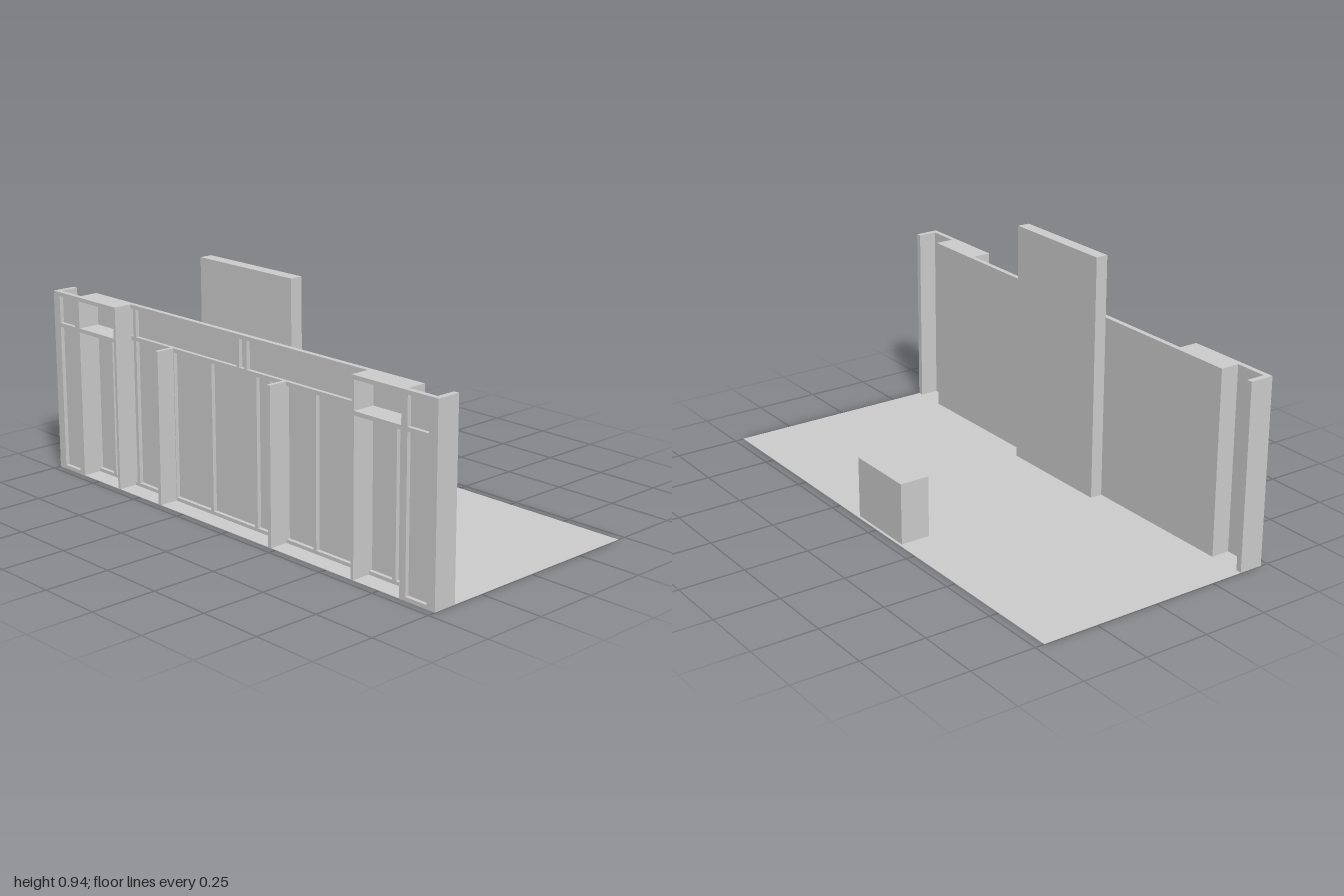
import * as THREE from 'three';

const material = new THREE.MeshStandardMaterial({ color: 0xcccccc, flatShading: true });

// Box given by its two extremes on each axis
function block(parent, name, [x0, x1], [y0, y1], [z0, z1]) {
  const mesh = new THREE.Mesh(new THREE.BoxGeometry(x1 - x0, y1 - y0, z1 - z0), material);
  mesh.position.set((x0 + x1) / 2, (y0 + y1) / 2, (z0 + z1) / 2);
  mesh.name = name;
  parent.add(mesh);
  return mesh;
}

export function createModel() {
  const model = new THREE.Group();
  model.name = 'exhibitionStand';

  const H = 0.705;          // wall height
  const RAIL = 0.585;       // top of the middle rail
  const T = 0.015;          // timber thickness
  const BACK = -0.47;
  const FRONT = -0.377;
  const FRAME = [-0.397, -0.382];

  block(model, 'floor', [BACK, 0.465], [0, 0.002], [-1, 1]);
  block(model, 'counter', [0.34, 0.455], [0, 0.235], [-0.152, 0.13]);
  block(model, 'centrePanel', [FRONT, -0.329], [0, 0.94], [-0.235, 0.235]);

  // Main wall: front skin with a timber frame behind it
  const wall = new THREE.Group();
  wall.name = 'wall';
  model.add(wall);
  block(wall, 'wallSkin', [-0.382, FRONT], [0, H], [-0.855, 0.855]);
  for (const top of [T, RAIL, H])
    block(wall, 'wallRail', FRAME, [top - T, top], [-0.62, 0.62]);
  for (const z of [-0.6, -0.38, -0.17, 0.07, 0.14, 0.22, 0.37, 0.6])
    block(wall, 'wallStud', FRAME, [T, RAIL - T], [z - T / 2, z + T / 2]);
  for (const z of [-0.6, -0.02, 0.02, 0.6])
    block(wall, 'upperStud', FRAME, [RAIL, H - T], [z - T / 2, z + T / 2]);

  // Upright fins bracing the back
  for (const z of [-0.383, 0.22])
    block(wall, 'braceFin', [BACK, FRAME[0]], [0, RAIL], [z - 0.008, z + 0.008]);

  // Mirrored end sections: back bay, open-fronted niche and end panel
  for (const s of [-1, 1]) {
    const end = new THREE.Group();
    end.name = s < 0 ? 'backEnd' : 'frontEnd';
    model.add(end);
    const span = (a, b) => (s > 0 ? [a, b] : [-b, -a]);

    block(end, 'bayInnerSide', [BACK, -0.382], [0, H], span(0.62, 0.632));
    block(end, 'bayOuterSide', [BACK, -0.382], [0, H], span(0.843, 0.855));
    block(end, 'bayTop', [BACK, -0.382], [H - T, H], span(0.632, 0.843));
    block(end, 'bayShelf', [BACK, -0.382], [RAIL - T, RAIL], span(0.632, 0.843));
    block(end, 'bayBase', FRAME, [0, T], span(0.632, 0.843));
    block(end, 'bayStud', FRAME, [T, RAIL - T], span(0.74, 0.755));

    block(end, 'nicheBack', [-0.455, -0.45], [0, H], span(0.855, 0.978));
    for (const top of [T, RAIL, H])
      block(end, 'nicheRail', [BACK, -0.455], [top - T, top], span(0.855, 0.978));
    for (const z of [0.855, 0.963])
      block(end, 'nicheStud', [BACK, -0.455], [0, H], span(z, z + T));

    block(end, 'endPanel', [BACK, FRONT], [0, H], span(0.978, 1));
  }
  return model;
}
